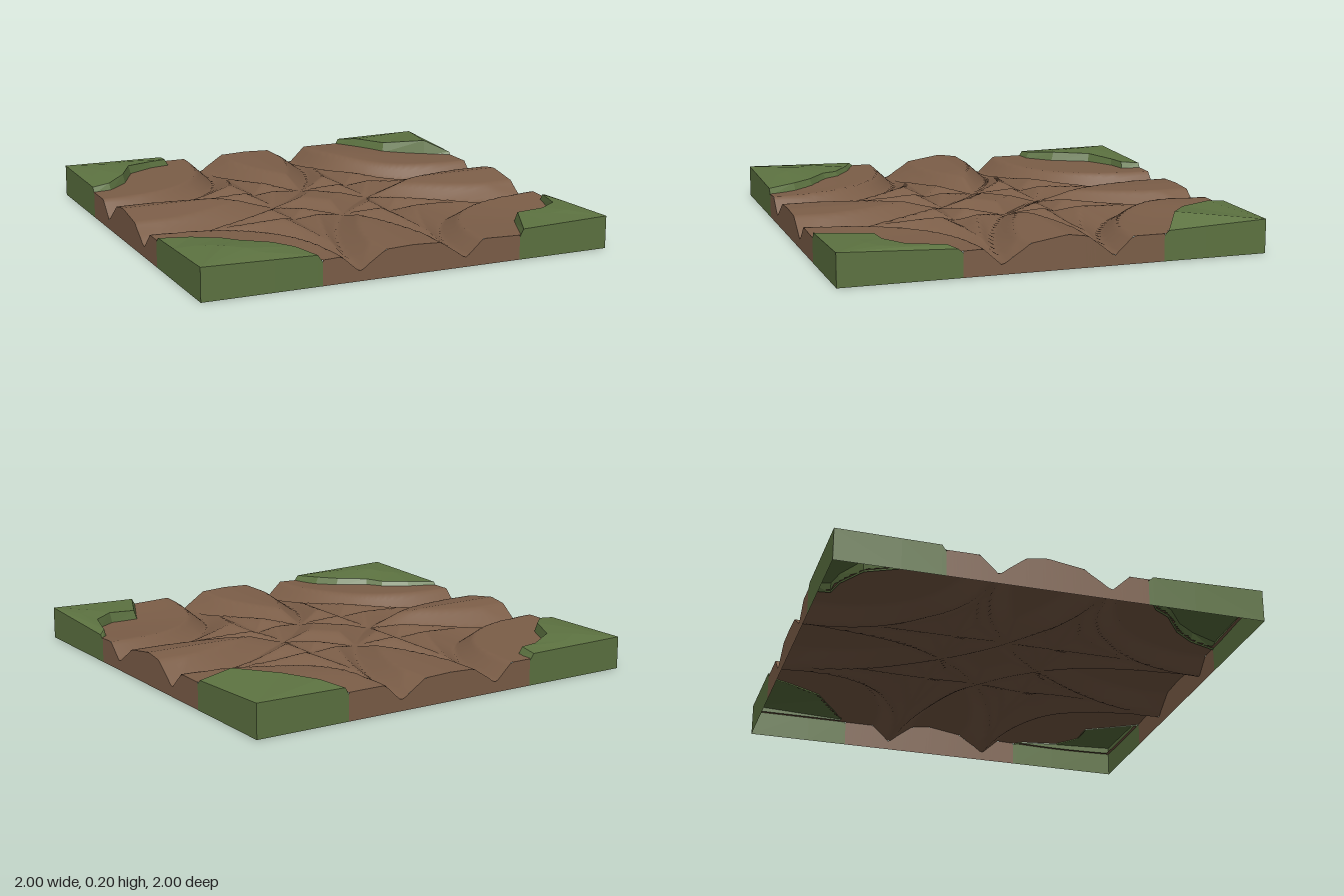
import * as THREE from 'three';

const DIRT = new THREE.MeshStandardMaterial({ color: 0x7c5e48, side: THREE.DoubleSide });
const GRASS = new THREE.MeshStandardMaterial({ color: 0x5d7341, side: THREE.DoubleSide, flatShading: true });

// Grass corners: rim points [x, z, height] run counter-clockwise seen from above
const corners = [
  { name: 'grassBackLeft', at: [-1, -1, 0.155], swell: 0.006, rim: [[-0.46, -1, 0.15], [-0.47, -0.9, 0.16],
    [-0.57, -0.88, 0.16], [-0.71, -0.8, 0.17], [-0.8, -0.62, 0.172], [-0.91, -0.51, 0.16], [-1, -0.5, 0.15]] },
  { name: 'grassBackRight', at: [1, -1, 0.16], swell: 0, rim: [[1, -0.5, 0.14], [0.88, -0.58, 0.2],
    [0.69, -0.71, 0.178], [0.6, -0.88, 0.175], [0.54, -1, 0.155]] },
  { name: 'grassFrontRight', at: [1, 1, 0.155], swell: 0.005, rim: [[0.54, 1, 0.142], [0.66, 0.74, 0.148],
    [0.8, 0.74, 0.155], [0.91, 0.66, 0.152], [0.96, 0.48, 0.145], [1, 0.44, 0.13]] },
  { name: 'grassFrontLeft', at: [-1, 1, 0.155], swell: 0.018, rim: [[-1, 0.44, 0.142], [-0.86, 0.5, 0.148],
    [-0.74, 0.58, 0.15], [-0.69, 0.66, 0.155], [-0.56, 0.76, 0.155], [-0.49, 0.86, 0.152], [-0.44, 1, 0.142]] },
];

// Soft mounds and hollows in the dirt: [x, z, radius, height]
const mounds = [[0.45, -0.72, 0.22, 0.018], [0.72, 0.72, 0.4, -0.024], [-0.5, 0.95, 0.2, -0.012],
  [0.3, 0.25, 0.12, -0.012], [0.5, -0.24, 0.16, -0.012]];

const { smoothstep } = THREE.MathUtils;

// V-shaped rut with its own half width on either side of the centre line
const rut = (d, near, far, depth) => depth * Math.max(0, 1 - (d < 0 ? -d / near : d / far));

// Distance from a corner along a squarish arc that runs straight near the tile edges
const arcRadius = (x, z, power) => (Math.abs(x) ** power + Math.abs(z) ** power) ** (1 / power);

// Dirt height: gentle base, crowned lanes, and the deepest of all wheel ruts
function height(x, z) {
  const ax = Math.abs(x), az = Math.abs(z);
  let base = 0.128;
  for (const [mx, mz, r, h] of mounds) base += h * Math.exp(-((x - mx) ** 2 + (z - mz) ** 2) / (r * r));
  const crown = 0.03 * Math.max(0, 1 - Math.abs(z + 0.04) / 0.2) * smoothstep(ax, 0.15, 0.6)
    + 0.008 * Math.max(0, 1 - ax / 0.2) * smoothstep(az, 0.15, 0.6);
  const outer = smoothstep(Math.max(ax, az), 0.1, 0.9);
  let cut = Math.max(rut(ax - 0.25, 0.08, 0.08, 0.035), rut(az - 0.25, 0.08, 0.08, 0.035));
  for (const { at } of corners) {
    // Turning tracks: a tight and a wide arc around each corner
    const dx = x - at[0], dz = z - at[1];
    cut = Math.max(cut, rut(arcRadius(dx, dz, 2.4) - 0.735, 0.085, 0.13, 0.045 + 0.035 * outer),
      rut(Math.hypot(dx, dz) - 1.25, 0.1, 0.09, 0.04 + 0.035 * outer));
  }
  return base + crown - cut;
}

function inGrass(x, z) {
  return corners.some(({ at, rim }) => {
    const p = [...rim, at];
    let inside = false;
    for (let i = 0, j = p.length - 1; i < p.length; j = i++) {
      if ((p[i][1] > z) !== (p[j][1] > z)
        && x < (p[j][0] - p[i][0]) * (z - p[i][1]) / (p[j][1] - p[i][1]) + p[i][0]) inside = !inside;
    }
    return inside;
  });
}

// Surface through rows of equally many points
function loft(rows, material, name) {
  const n = rows[0].length, index = [];
  for (let i = 0; i < rows.length - 1; i++) {
    for (let j = 0; j < n - 1; j++) {
      const a = i * n + j, b = a + n;
      index.push(a, a + 1, b, a + 1, b + 1, b);
    }
  }
  const geometry = new THREE.BufferGeometry();
  geometry.setAttribute('position', new THREE.Float32BufferAttribute(rows.flat(2), 3));
  geometry.setIndex(index);
  geometry.computeVertexNormals();
  const mesh = new THREE.Mesh(geometry, material);
  mesh.name = name;
  return mesh;
}

// Upright wall from the ground to a line of top points
const wall = (top, material, name) => loft([top, top.map(([x, , z]) => [x, 0, z])], material, name);

function dirtSurface() {
  const geometry = new THREE.PlaneGeometry(2, 2, 120, 120).rotateX(-Math.PI / 2);
  const pos = geometry.attributes.position;
  const covered = [];
  for (let i = 0; i < pos.count; i++) {
    const x = pos.getX(i), z = pos.getZ(i);
    pos.setY(i, height(x, z));
    covered.push(inGrass(x, z));
  }
  // Leave out the triangles fully under the grass
  const old = geometry.index.array, index = [];
  for (let i = 0; i < old.length; i += 3) {
    const tri = [old[i], old[i + 1], old[i + 2]];
    if (!tri.every((v) => covered[v])) index.push(...tri);
  }
  geometry.setIndex(index);
  geometry.computeVertexNormals();
  const mesh = new THREE.Mesh(geometry, DIRT);
  mesh.name = 'dirtTrack';
  return mesh;
}

function grassCorner({ name, at, swell, rim }) {
  const group = new THREE.Group();
  group.name = name;
  // Lip sunk into the dirt, then rings shrinking toward the tile corner with a swelling in the middle
  const lip = rim.map(([x, z]) => [x, height(x, z) - 0.008, z]);
  const rings = [0.04, 0.4, 1].map((s) => rim.map(([x, z, y], j) => [
    x + (at[0] - x) * s,
    y + (at[2] - y) * s + (s === 0.4 ? swell * Math.sin(Math.PI * j / (rim.length - 1)) : 0),
    z + (at[1] - z) * s,
  ]));
  const rows = [lip, ...rings];
  group.add(loft(rows, GRASS, 'grassTop'));
  group.add(wall(rows.map((r) => r[0]).reverse(), GRASS, 'grassSideA'));
  group.add(wall(rows.map((r) => r[r.length - 1]), GRASS, 'grassSideB'));
  return group;
}

export function createModel() {
  const model = new THREE.Group();
  model.name = 'dirtCrossroadsTile';
  model.add(dirtSurface());
  for (const corner of corners) model.add(grassCorner(corner));

  // Dirt side walls span the gaps between neighbouring grass corners
  const sides = [
    ['dirtSideBack', [0.54, -1], [-0.46, -1]], ['dirtSideLeft', [-1, -0.5], [-1, 0.44]],
    ['dirtSideFront', [-0.44, 1], [0.54, 1]], ['dirtSideRight', [1, 0.44], [1, -0.5]],
  ];
  for (const [name, a, b] of sides) {
    const top = [];
    for (let i = 0; i <= 60; i++) {
      const x = a[0] + (b[0] - a[0]) * i / 60, z = a[1] + (b[1] - a[1]) * i / 60;
      top.push([x, height(x, z), z]);
    }
    model.add(wall(top.reverse(), DIRT, name));
  }
  return model;
}
